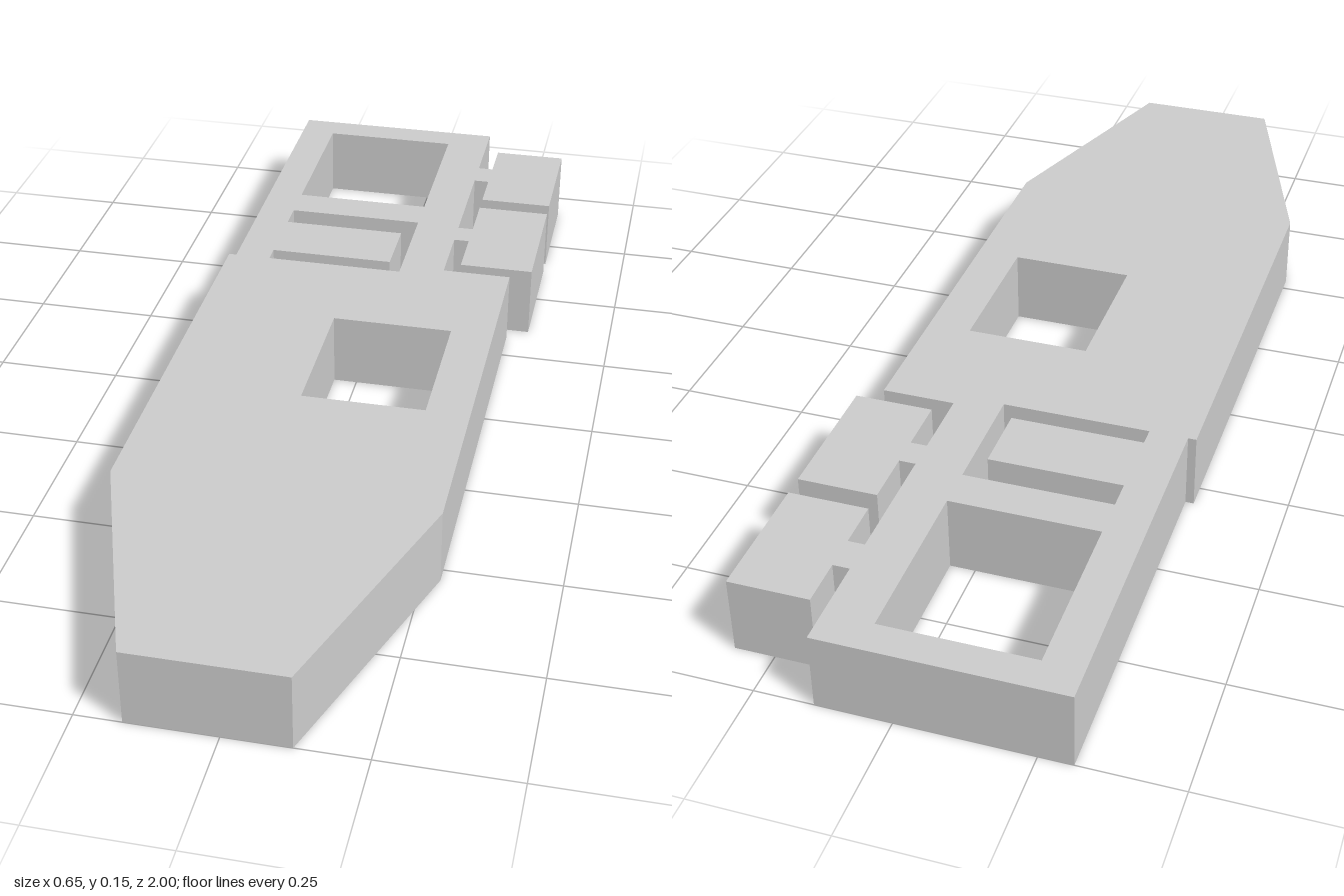
import * as THREE from 'three';

const HEIGHT = 0.15;

// Plan points are [x, z]; the shape is drawn with y = -z, then laid flat.
const toPoints = (plan) => plan.map(([x, z]) => new THREE.Vector2(x, -z));
const rect = (x0, x1, z0, z1) => [[x0, z0], [x1, z0], [x1, z1], [x0, z1]];

// Side block joined to the frame by a narrow neck, traced front to back
const sideBlock = (front, neckFront, neckBack, back) => [
  [0.14, neckFront], [0.172, neckFront], [0.172, front], [0.325, front],
  [0.325, back], [0.172, back], [0.172, neckBack], [0.14, neckBack],
];

export function createModel() {
  const model = new THREE.Group();
  model.name = 'flatVessel';

  // Tapered bow, wide deck, side blocks and narrower rear frame
  const outline = [
    [-0.165, 1], [0.122, 1], [0.282, 0.53], [0.282, -0.323], [0.14, -0.323],
    ...sideBlock(-0.355, -0.463, -0.52, -0.625),
    ...sideBlock(-0.665, -0.757, -0.823, -0.915),
    [0.14, -1], [-0.312, -1], [-0.312, -0.298], [-0.328, -0.298], [-0.328, 0.53],
  ];

  // Square deck opening, rear opening and a slot wrapped round a tongue
  const openings = [
    rect(-0.047, 0.196, -0.08, 0.216),
    rect(-0.238, 0.048, -0.937, -0.603),
    [
      [-0.238, -0.525], [0.048, -0.525], [0.048, -0.298], [-0.238, -0.298],
      [-0.238, -0.335], [0.02, -0.335], [0.02, -0.468], [-0.238, -0.468],
    ],
  ];

  const shape = new THREE.Shape(toPoints(outline));
  shape.holes = openings.map((plan) => new THREE.Path(toPoints(plan)));

  const geometry = new THREE.ExtrudeGeometry(shape, { depth: HEIGHT, bevelEnabled: false });
  geometry.rotateX(-Math.PI / 2);

  const hull = new THREE.Mesh(
    geometry,
    new THREE.MeshStandardMaterial({ color: 0xcccccc, flatShading: true }),
  );
  hull.name = 'hull';
  model.add(hull);
  return model;
}
